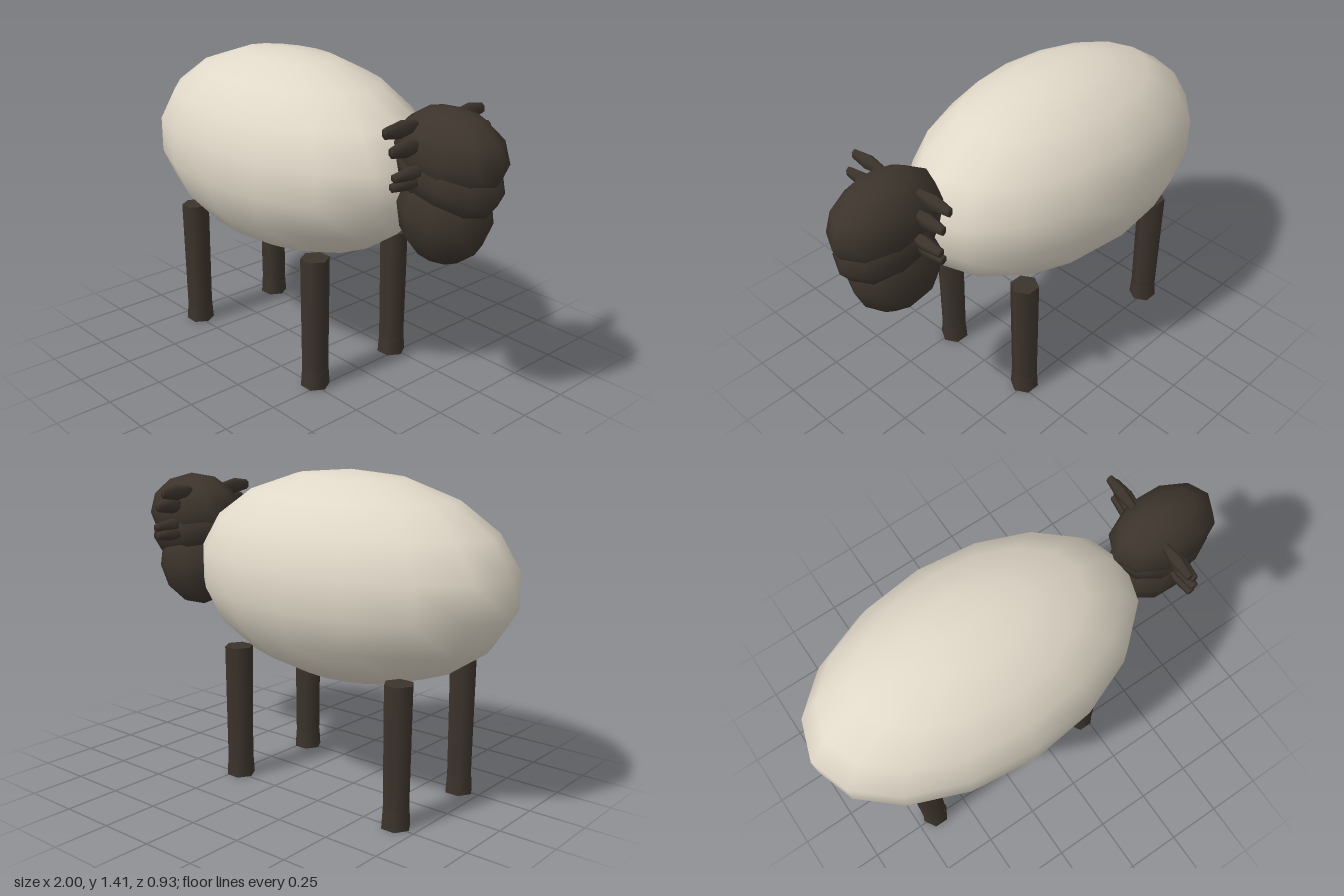
import * as THREE from 'three';

export function createModel() {
  const group = new THREE.Group();
  const cream = new THREE.MeshStandardMaterial({ color: 0xe0d8c8 });
  cream.name = 'cream wool';
  const dark = new THREE.MeshStandardMaterial({ color: 0x3c342c });
  dark.name = 'dark brown';

  function add(name, geometry, material, x, y, z) {
    const mesh = new THREE.Mesh(geometry, material);
    mesh.name = name;
    mesh.position.set(x, y, z);
    group.add(mesh);
    return mesh;
  }

  // Woolly body: a long faceted ellipsoid
  add('body', new THREE.SphereGeometry(1, 16, 9).scale(0.792, 0.453, 0.471), cream, -0.22, 0.953, 0);

  // Head: three overlapping ellipsoids [name, x, y, rx, ry, tilt]
  const lumps = [
    ['crown', 0.741, 1.147, 0.258, 0.182, -0.08],
    ['face', 0.74, 1.06, 0.248, 0.152, -0.25],
    ['muzzle', 0.722, 0.9, 0.208, 0.21, -0.15],
  ];
  for (const [name, x, y, rx, ry, tilt] of lumps) {
    const lump = add(name, new THREE.SphereGeometry(1, 10, 6).scale(rx, ry, 0.17), dark, x, y, 0);
    lump.rotation.z = tilt;
  }

  // Ears: small blunt spindles pointing sideways [x, y, half width, half height]
  const spindle = new THREE.LatheGeometry(
    [[0, -0.085], [0.6, -0.085], [1, 0], [0.62, 0.085], [0, 0.085]].map(([r, y]) => new THREE.Vector2(r, y)), 6
  ).rotateX(Math.PI / 2);
  const ears = [
    [0.655, 1.258, 0.026, 0.037],
    [0.692, 1.193, 0.026, 0.037],
    [0.71, 1.098, 0.03, 0.03],
    [0.7, 1.058, 0.03, 0.03],
  ];
  for (const side of [1, -1]) {
    for (const [x, y, w, h] of ears) {
      const ear = add(side > 0 ? 'leftEar' : 'rightEar', spindle, dark, x, y, side * 0.19);
      ear.scale.set(w, h, 1);
    }
  }

  // Legs: tapered hexagonal posts standing on slightly flared hooves
  const leg = new THREE.CylinderGeometry(0.064, 0.059, 0.53, 6, 1, false, Math.PI / 6);
  const hoof = new THREE.CylinderGeometry(0.06, 0.065, 0.08, 6, 1, false, Math.PI / 6);
  for (const x of [-0.655, 0.222]) {
    for (const z of [-0.238, 0.238]) {
      add('leg', leg, dark, x, 0.345, z);
      add('hoof', hoof, dark, x, 0.04, z);
    }
  }
  return group;
}
